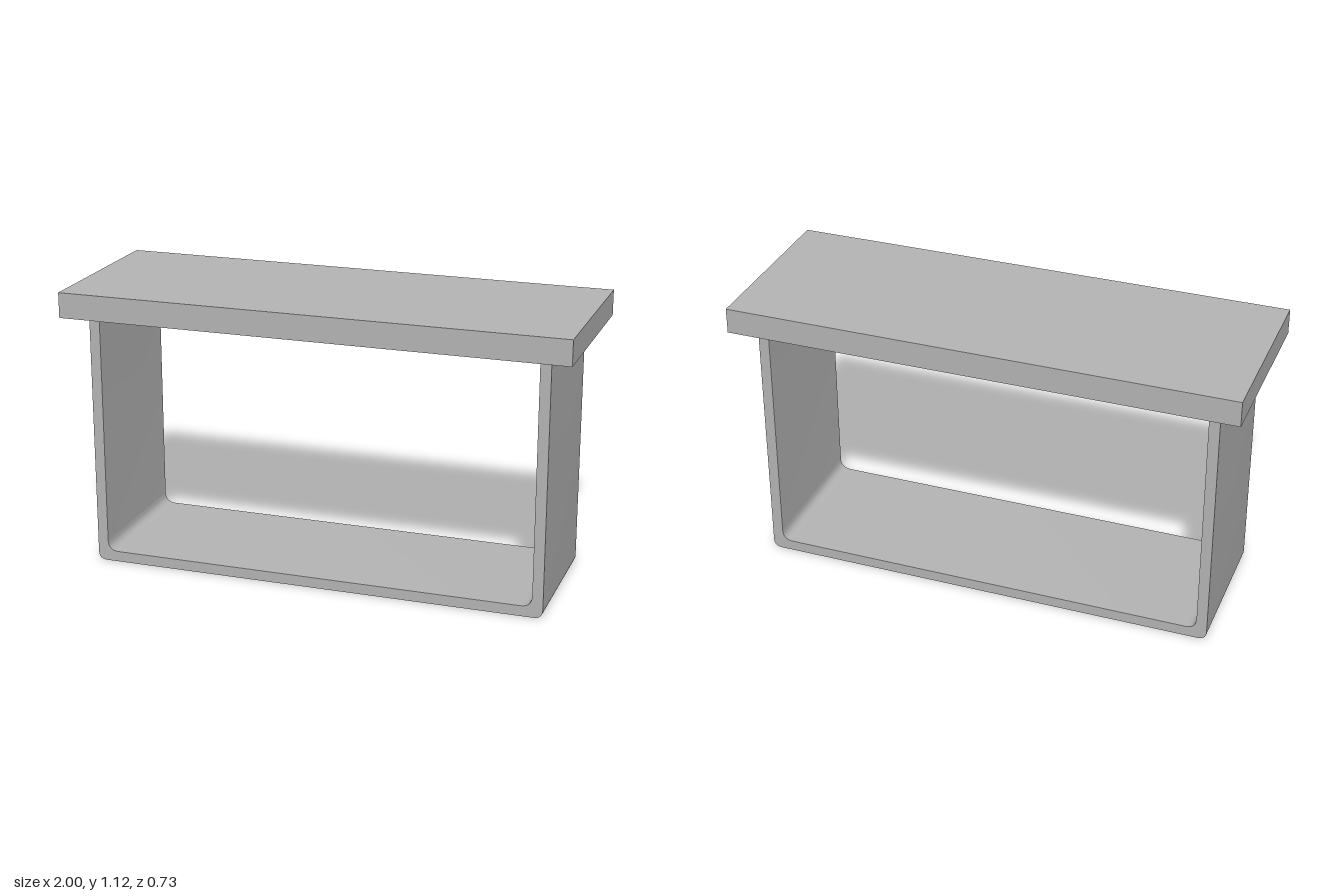
import * as THREE from 'three';
import { toCreasedNormals } from 'three/addons/utils/BufferGeometryUtils.js';

const LEG_TOP = 1.015;   // underside of the top slab
const SLAB_HEIGHT = 0.1;
const FRAME_DEPTH = 0.575;

// Adds a U path (top left, down, across, up to top right) with rounded lower corners
function addU(shape, halfWidth, bottom, radius, reverse) {
  const s = reverse ? -1 : 1;
  shape.lineTo(-s * halfWidth, bottom + radius);
  shape.quadraticCurveTo(-s * halfWidth, bottom, -s * (halfWidth - radius), bottom);
  shape.lineTo(s * (halfWidth - radius), bottom);
  shape.quadraticCurveTo(s * halfWidth, bottom, s * halfWidth, bottom + radius);
  shape.lineTo(s * halfWidth, LEG_TOP);
}

export function createModel() {
  const group = new THREE.Group();
  group.name = 'bench';
  const grey = new THREE.MeshStandardMaterial({ color: 0xb4b4b4 });
  grey.name = 'grey';

  // Flat top slab
  const top = new THREE.Mesh(new THREE.BoxGeometry(2, SLAB_HEIGHT, 0.725), grey);
  top.name = 'topSlab';
  top.position.y = LEG_TOP + SLAB_HEIGHT / 2;
  group.add(top);

  // U-shaped frame: both legs and the floor in one bent band
  const profile = new THREE.Shape();
  profile.moveTo(-0.91, LEG_TOP);
  addU(profile, 0.91, 0, 0.035, false);
  profile.lineTo(0.868, LEG_TOP);
  addU(profile, 0.868, 0.042, 0.045, true);
  profile.closePath();

  const band = new THREE.ExtrudeGeometry(profile, {
    depth: FRAME_DEPTH, bevelEnabled: false, curveSegments: 10,
  });
  band.translate(0, 0, -FRAME_DEPTH / 2);
  const frame = new THREE.Mesh(toCreasedNormals(band, 0.6), grey);
  frame.name = 'legFrame';
  group.add(frame);

  return group;
}
